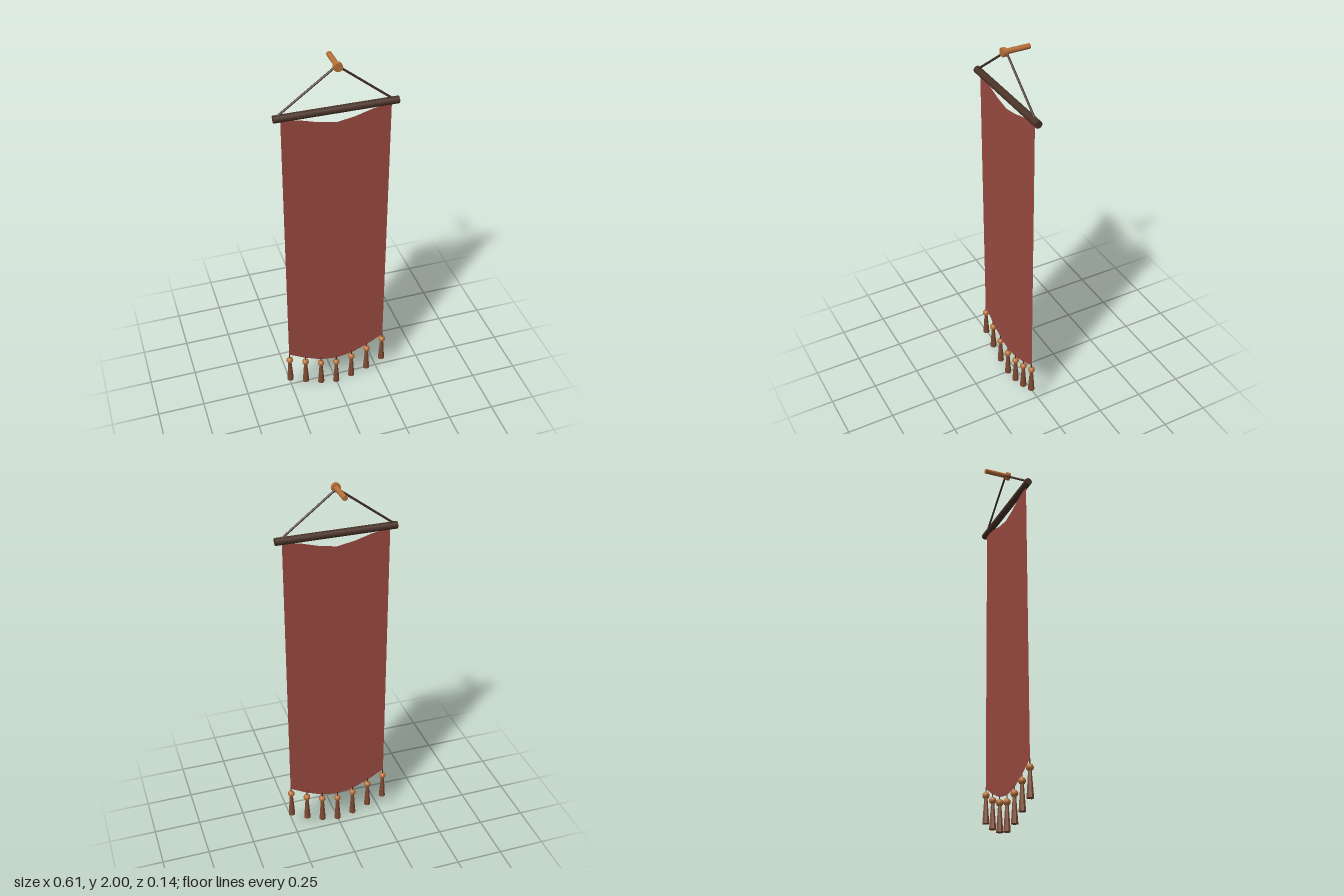
import * as THREE from 'three';

const Z = 0.047; // plane in which bar, cloth and tassels hang
const material = (color, extra = {}) => new THREE.MeshStandardMaterial({ color, ...extra });
const cloth = material(0x9a4a40, { side: THREE.DoubleSide });
const darkWood = material(0x4a3328);
const cord = material(0x45302a);
const copper = material(0xb87038);
const thread = material(0x7d4a32, { flatShading: true });

function add(parent, name, geometry, mat, x = 0, y = 0, z = 0) {
  const mesh = new THREE.Mesh(geometry, mat);
  mesh.name = name;
  mesh.position.set(x, y, z);
  parent.add(mesh);
  return mesh;
}

// Straight cord between two points
function addCord(parent, name, a, b, radius, sides = 8) {
  const dir = b.clone().sub(a);
  const mesh = add(parent, name, new THREE.CylinderGeometry(radius, radius, dir.length(), sides), cord);
  mesh.position.copy(a).add(b).multiplyScalar(0.5);
  mesh.quaternion.setFromUnitVectors(new THREE.Vector3(0, 1, 0), dir.normalize());
}

export function createModel() {
  const group = new THREE.Group();
  group.name = 'wallHanging';

  // Wall peg with its wider head
  add(group, 'peg', new THREE.CylinderGeometry(0.013, 0.013, 0.125, 12).rotateX(Math.PI / 2), copper, 0, 1.98, -0.0105);
  add(group, 'pegHead', new THREE.CylinderGeometry(0.022, 0.022, 0.02, 12).rotateX(Math.PI / 2), copper, 0, 1.98, 0.06);

  // Hanging cords and crossbar
  const apex = new THREE.Vector3(0, 1.98, Z);
  addCord(group, 'leftCord', new THREE.Vector3(0.285, 1.757, Z), apex, 0.0055);
  addCord(group, 'rightCord', new THREE.Vector3(-0.3, 1.757, Z), apex, 0.0055);
  add(group, 'crossbar', new THREE.CylinderGeometry(0.0185, 0.0185, 0.604, 16).rotateZ(Math.PI / 2), darkWood, 0, 1.757, Z);

  // Cloth: sagging top edge and rounded bottom edge
  const half = 0.268;
  const topEdge = [1.745, 1.731, 1.705, 1.689, 1.705, 1.731, 1.745];
  const bottomEdge = [0.277, 0.227, 0.189, 0.175, 0.189, 0.227, 0.277];
  const sheet = new THREE.PlaneGeometry(2 * half, 1, 6, 8);
  const pos = sheet.attributes.position;
  for (let i = 0; i < pos.count; i++) {
    const column = i % 7;
    pos.setY(i, THREE.MathUtils.lerp(bottomEdge[column], topEdge[column], pos.getY(i) + 0.5));
  }
  sheet.computeVertexNormals();
  add(group, 'cloth', sheet, cloth, 0, 0, Z);

  // Tassels: knot thread, bead and flared skirt
  const beadHeights = [0.236, 0.197, 0.161, 0.143, 0.161, 0.195, 0.243];
  beadHeights.forEach((y, i) => {
    const tassel = new THREE.Group();
    tassel.name = 'tassel' + (i + 1);
    tassel.position.set((i - 3) * 0.0885, y, Z);
    add(tassel, 'knotThread', new THREE.CylinderGeometry(0.003, 0.003, 0.04, 6), cord, 0, 0.022, 0);
    add(tassel, 'bead', new THREE.SphereGeometry(0.0185, 12, 8), copper);
    add(tassel, 'skirt', new THREE.CylinderGeometry(0.009, 0.0185, 0.129, 8), thread, 0, -0.0785, 0);
    group.add(tassel);
  });

  return group;
}
